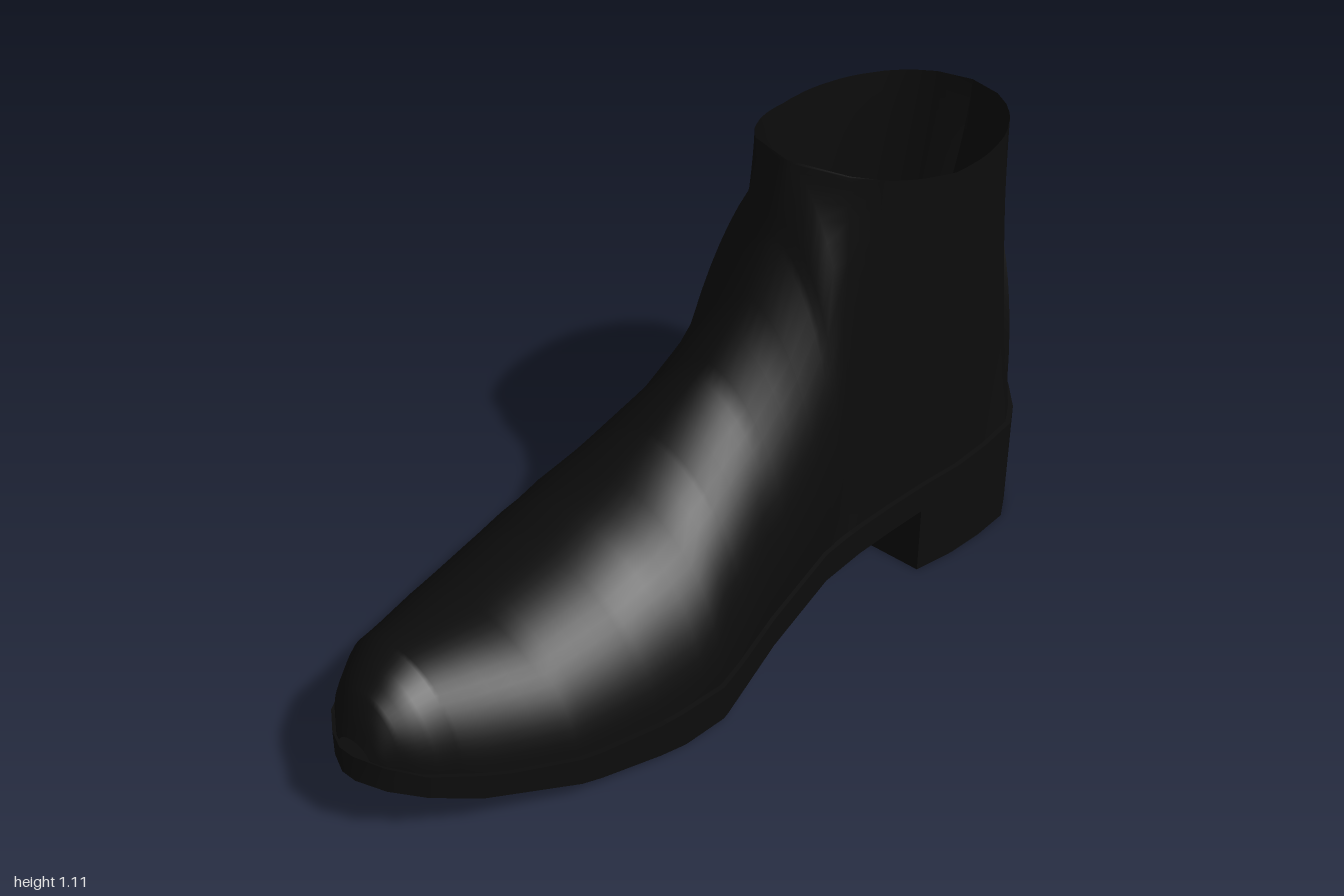
import * as THREE from 'three';
import { mergeVertices, toCreasedNormals } from 'three/addons/utils/BufferGeometryUtils.js';

const black = new THREE.MeshStandardMaterial({ color: 0x0c0c0c, side: THREE.DoubleSide });
black.name = 'black leather';

// Tables run from toe (+z) to heel (-z): [z, value, ...]
const FOOT = [[0.99, 0, 0.04], [0.96, -0.06, 0.1], [0.9, -0.14, 0.155], [0.8, -0.22, 0.205], [0.6, -0.3, 0.285],
  [0.4, -0.335, 0.32], [0.22, -0.345, 0.338], [0, -0.31, 0.29], [-0.2, -0.28, 0.272], [-0.4, -0.255, 0.3],
  [-0.6, -0.23, 0.335], [-0.7, -0.213, 0.34], [-0.8, -0.18, 0.335], [-0.86, -0.13, 0.3], [-0.93, -0.06, 0.235],
  [-0.975, 0.03, 0.165], [-1, 0.08, 0.12]];
const SOLE_TOP = [[0.99, 0.24], [0.9, 0.195], [0.75, 0.145], [0.55, 0.11], [0.35, 0.095], [0.15, 0.105],
  [0, 0.13], [-0.28, 0.21], [-0.5, 0.245], [-0.75, 0.27], [-1, 0.285]];
const SOLE_BOTTOM = [[0.99, 0.175], [0.8, 0.1], [0.55, 0.04], [0.33, 0.005], [0.2, 0.015], [0, 0.055],
  [-0.3, 0.14], [-0.49, 0.172], [-1, 0.2]];
const RIDGE = [[0.97, 0.255], [0.95, 0.305], [0.93, 0.335], [0.88, 0.37], [0.83, 0.387], [0.6, 0.375], [0.4, 0.412],
  [0.27, 0.46], [0.13, 0.56], [-0.03, 0.69], [-0.13, 0.82], [-0.19, 0.95], [-0.23, 1.11], [-0.35, 1.082],
  [-0.5, 1.062], [-0.88, 1.065], [-0.9, 0.84], [-0.93, 0.73], [-0.96, 0.63], [-1, 0.48]];

function lookup(table, z, k = 1) {
  if (z >= table[0][0]) return table[0][k];
  for (let i = 1; i < table.length; i++) {
    const a = table[i - 1], b = table[i];
    if (z >= b[0]) return a[k] + (b[k] - a[k]) * (z - a[0]) / (b[0] - a[0]);
  }
  return table[table.length - 1][k];
}

// Sorted section positions between two ends, including every table step
function stations(from, to, ...tables) {
  const zs = [from, to, ...tables.flat().map(r => r[0])];
  for (let z = from; z > to; z -= 0.05) zs.push(z);
  return zs.filter(z => z <= from && z >= to).sort((a, b) => b - a)
    .filter((z, i, all) => i === 0 || all[i - 1] - z > 1e-3);
}

// Skin a row of sections; an open skin may leave one strip out
function loft(sections, { closed = false, skip = -1 } = {}) {
  const n = sections[0].length, index = [];
  const strips = closed ? n : n - 1;
  for (let i = 0; i < sections.length - 1; i++) {
    for (let j = 0; j < strips; j++) {
      if (j === skip) continue;
      const a = i * n + j, b = i * n + (j + 1) % n;
      index.push(a, b, a + n, b, b + n, a + n);
    }
  }
  if (closed) {
    const e = (sections.length - 1) * n;
    for (let j = 1; j < n - 1; j++) index.push(0, j + 1, j, e, e + j, e + j + 1);
  }
  const geometry = new THREE.BufferGeometry();
  geometry.setAttribute('position', new THREE.Float32BufferAttribute(sections.flat(2), 3));
  geometry.setIndex(index);
  return geometry;
}

// Foot and shaft: arches over the foot that open into the collar
function upperGeometry() {
  const N = 16;
  const sections = stations(0.97, -0.99, FOOT, RIDGE).map(z => {
    const lo = lookup(FOOT, z, 1), hi = lookup(FOOT, z, 2);
    const base = lookup(SOLE_TOP, z) - 0.01, height = lookup(RIDGE, z) - base;
    const mid = (lo + hi) / 2, half = (hi - lo) / 2 - 0.012;
    const e = (z + 0.555) / 0.325;
    const collar = Math.abs(e) < 1 ? 0.243 * Math.sqrt(1 - e * e) : 0;
    const shaft = THREE.MathUtils.clamp((0.3 - z) / 0.5, 0, 1);
    const topMid = THREE.MathUtils.lerp(mid, 0.093, z < -0.88 ? 0.3 : shaft);
    const power = z < -0.88 ? 1 : 1 + 0.3 * shaft;
    const side = sign => Array.from({ length: N + 1 }, (_, j) => {
      const phi = j / N * Math.PI / 2, rise = Math.sin(phi);
      const fade = collar > 0 ? Math.pow(1 - rise, 1.5) : Math.pow(Math.max(0, Math.cos(phi)), power);
      const w = j === N ? collar : collar + (half - collar) * fade;
      const c = topMid + (mid - topMid) * Math.pow(1 - rise, 1.5);
      return [c + sign * w, base + height * rise, z];
    });
    return [...side(-1), ...side(1).reverse()];
  });
  const geometry = mergeVertices(loft(sections, { skip: N }), 1e-4);
  geometry.computeVertexNormals();
  return geometry;
}

// Slab following the footprint between two height rules
function slabGeometry(from, to, bottom, top) {
  const sections = stations(from, to, FOOT, SOLE_BOTTOM).map(z => {
    const lo = lookup(FOOT, z, 1), hi = lookup(FOOT, z, 2);
    return [[lo, bottom(z), z], [lo, top(z), z], [hi, top(z), z], [hi, bottom(z), z]];
  });
  return toCreasedNormals(loft(sections, { closed: true }), 0.7);
}

export function createModel() {
  const boot = new THREE.Group();
  boot.name = 'ankleBoot';
  const add = (name, geometry) => {
    const mesh = new THREE.Mesh(geometry, black);
    mesh.name = name;
    boot.add(mesh);
  };
  add('upper', upperGeometry());
  add('sole', slabGeometry(0.99, -1, z => lookup(SOLE_BOTTOM, z), z => lookup(SOLE_TOP, z)));
  add('heel', slabGeometry(-0.49, -1, () => 0, z => lookup(SOLE_BOTTOM, z) + 0.003));
  return boot;
}
